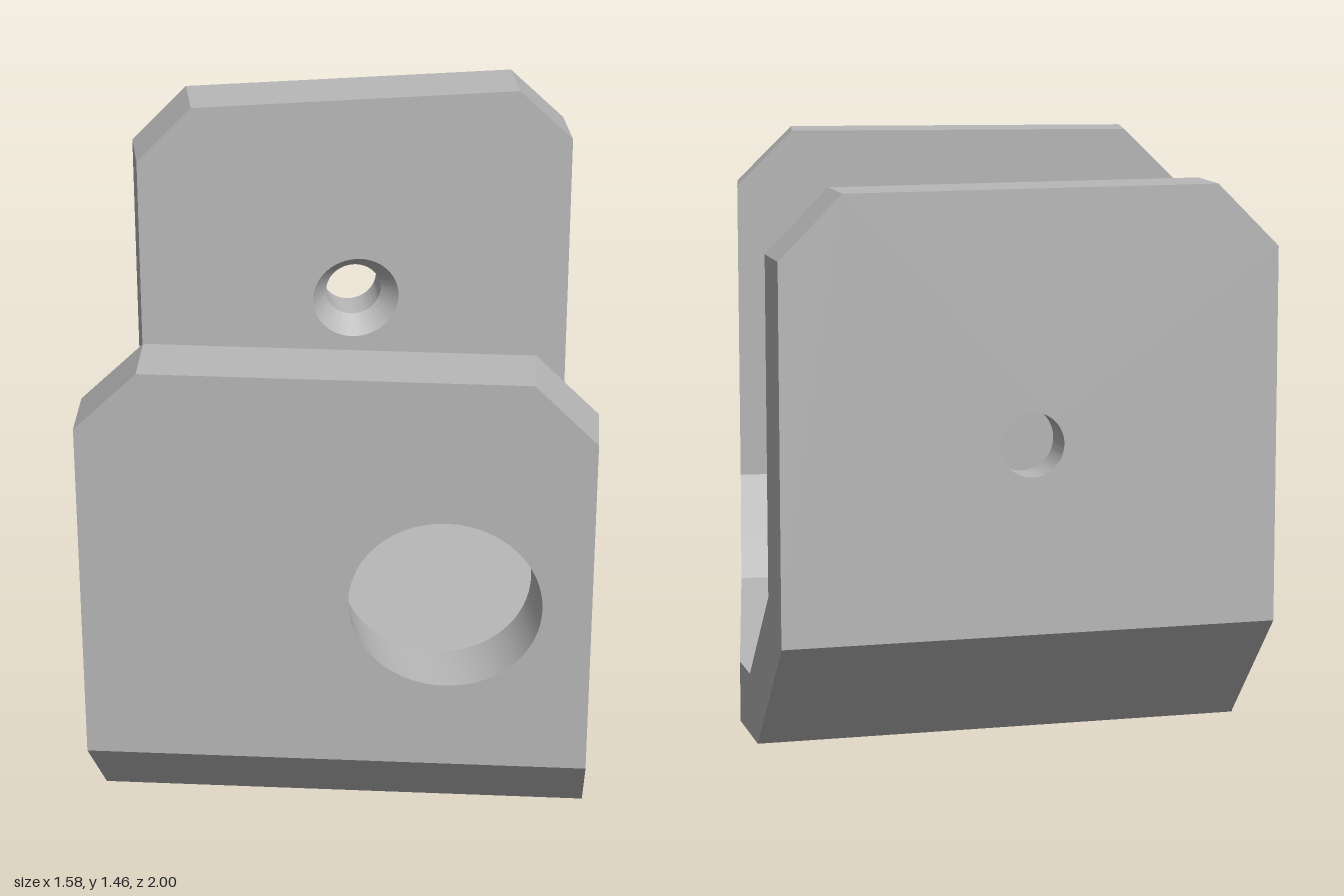
import * as THREE from 'three';
import { toCreasedNormals } from 'three/addons/utils/BufferGeometryUtils.js';

const ANGLE = THREE.MathUtils.degToRad(11); // front wall is skewed by this much
const TAN = Math.tan(ANGLE), COS = Math.cos(ANGLE), SIN = Math.sin(ANGLE);
const T = 0.163;                            // sheet thickness
const WALL_BASE = 0.425, WALL_TOP = 1.463, CUT = 0.163;
const HOLE = { x: 0.138, y: 0.815 };
const SEGMENTS = 64;

// Collects triangles and quads given as counter-clockwise [x, y, z] corners
function builder() {
  const pos = [];
  const tri = (a, b, c) => pos.push(...a, ...b, ...c);
  return {
    tri,
    quad(a, b, c, d) { tri(a, b, c); tri(a, c, d); },
    build() {
      const g = new THREE.BufferGeometry();
      g.setAttribute('position', new THREE.Float32BufferAttribute(pos, 3));
      g.computeVertexNormals();
      return toCreasedNormals(g, 0.3);
    },
  };
}

// Wall with clipped top corners; rings describe the bore from front to back
function wallGeometry(width, rings) {
  const b = builder();
  const outline = [
    [0, WALL_BASE], [width, WALL_BASE], [width, WALL_TOP - CUT], [width - CUT, WALL_TOP],
    [CUT, WALL_TOP], [0, WALL_TOP - CUT],
  ].map(([x, y]) => new THREE.Vector2(x, y));
  const ringPoints = (r) => Array.from({ length: SEGMENTS }, (_, i) => {
    const a = -2 * Math.PI * i / SEGMENTS;
    return new THREE.Vector2(r.x + r.rx * Math.cos(a), HOLE.y + r.ry * Math.sin(a));
  });
  const at = (p, z) => [p.x, p.y, z];

  // Front and back faces
  const last = rings.length - 1;
  for (const k of [0, last]) {
    const hole = ringPoints(rings[k]);
    const all = [...outline, ...hole];
    for (const f of THREE.ShapeUtils.triangulateShape(outline, [hole])) {
      const [p, q, r] = f.map((i) => at(all[i], rings[k].z));
      if (k === 0) b.tri(p, q, r); else b.tri(p, r, q);
    }
  }
  // Outer edges; the bottom edge is joined to the floor
  const zf = rings[0].z, zb = rings[last].z;
  for (let i = 1; i < outline.length; i++) {
    const p = outline[i], q = outline[(i + 1) % outline.length];
    b.quad(at(p, zf), at(p, zb), at(q, zb), at(q, zf));
  }
  // Bore
  for (let k = 0; k < last; k++) {
    const f = ringPoints(rings[k]), r = ringPoints(rings[k + 1]);
    for (let i = 0; i < SEGMENTS; i++) {
      const j = (i + 1) % SEGMENTS;
      b.quad(at(f[i], rings[k].z), at(r[i], rings[k + 1].z), at(r[j], rings[k + 1].z), at(f[j], rings[k].z));
    }
  }
  return b.build();
}

// Floor with both bevelled bends, lofted from front to back
function floorGeometry(left, right) {
  const b = builder();
  const stations = [];
  // Rows parallel to the skewed front wall: distance inward, bottom y, top y
  for (const [d, lo, hi] of [[0, 0.325, 0.425], [T, 0.325 - T, 0.425], [0.325, 0, 0.263], [0.425, 0, T]]) {
    const shift = ([x, z]) => [x + d * SIN, z - d * COS];
    stations.push({ l: shift(left), r: shift(right), lo, hi });
  }
  // Rows parallel to the back wall: z, bottom y, top y
  const rows = [[-0.435, 0, T], [-0.575, 0, T], [-0.675, 0, 0.263], [-0.682, 0.007, 0.27],
    [T - 1, 0.325 - T, 0.425], [-1, 0.325, 0.425]];
  for (const [z, lo, hi] of rows) {
    const xl = Math.min(-0.51, left[0] + (left[1] - z) * TAN);
    const xr = Math.min(0.787, right[0] + (right[1] - z) * TAN);
    stations.push({ l: [xl, z], r: [xr, z], lo, hi });
  }
  const at = ([x, z], y) => [x, y, z];
  const corners = stations.map((s) => ({
    lb: at(s.l, s.lo), rb: at(s.r, s.lo), lt: at(s.l, s.hi), rt: at(s.r, s.hi),
  }));
  for (let i = 0; i < corners.length - 1; i++) {
    const p = corners[i], q = corners[i + 1];
    b.quad(p.lt, p.rt, q.rt, q.lt);
    b.quad(p.lb, q.lb, q.rb, p.rb);
    b.quad(p.rb, q.rb, q.rt, p.rt);
    b.quad(p.lb, p.lt, q.lt, q.lb);
  }
  const f = corners[0], e = corners[corners.length - 1];
  b.quad(f.lb, f.rb, f.rt, f.lt);
  b.quad(e.rb, e.lb, e.lt, e.rt);
  return b.build();
}

export function createModel() {
  const model = new THREE.Group();
  model.name = 'skewedBracket';
  const steel = new THREE.MeshStandardMaterial({ color: 0xb8b8b8 });
  steel.name = 'grey steel';
  const add = (name, geometry) => {
    const mesh = new THREE.Mesh(geometry, steel);
    mesh.name = name;
    model.add(mesh);
    return mesh;
  };

  // Outer corners of the front wall in plan (x, z)
  const width = 1.32;
  const left = [-0.788, 0.748];
  const right = [left[0] + width * COS, left[1] + width * SIN];
  add('floor', floorGeometry(left, right));

  // Front wall: large bore running straight along z through the skewed sheet
  const u = (HOLE.x - left[0]) / COS;
  const big = { rx: 0.245 / COS, ry: 0.245 };
  const front = add('frontWall', wallGeometry(width, [
    { ...big, x: u, z: 0 },
    { ...big, x: u - T * TAN, z: -T },
  ]));
  front.position.set(left[0], 0, left[1]);
  front.rotation.y = -ANGLE;

  // Back wall: small hole countersunk from the inside
  const x = HOLE.x + 0.51;
  const back = add('backWall', wallGeometry(1.297, [
    { x, rx: 0.13, ry: 0.13, z: T },
    { x, rx: 0.083, ry: 0.083, z: T - 0.06 },
    { x, rx: 0.083, ry: 0.083, z: 0 },
  ]));
  back.position.set(-0.51, 0, -1);
  return model;
}
